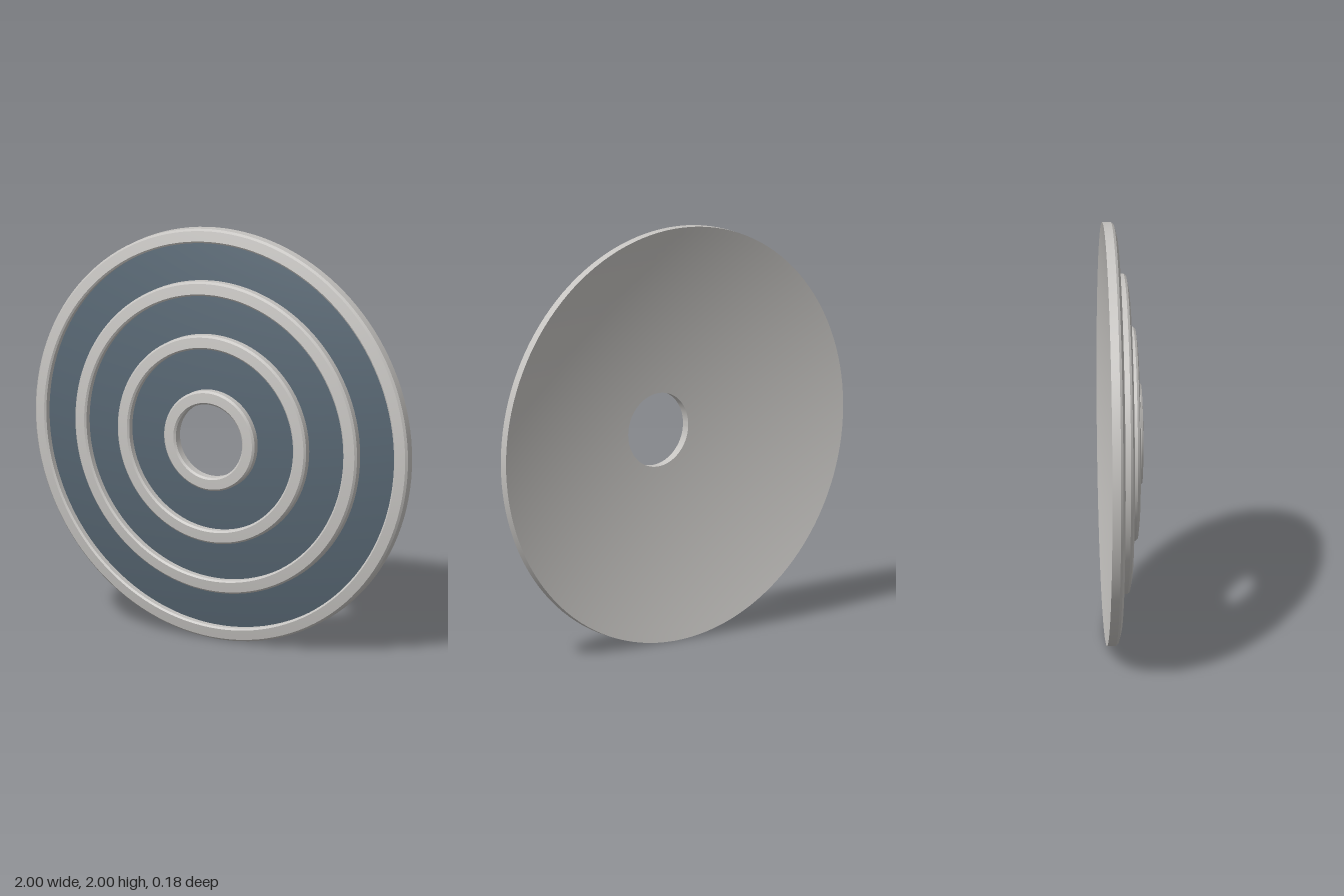
import * as THREE from 'three';
import { toCreasedNormals } from 'three/addons/utils/BufferGeometryUtils.js';

const HOLE = 0.178;
const SEGMENTS = 128;

// Back surface of the shallow dome: depth at a given radius
const dome = (r) => 0.045 - 0.132 * r * r;

// Points along the dome from radius a to b, raised by h
function arc(a, b, h, steps) {
  return Array.from({ length: steps + 1 }, (_, i) => {
    const r = a + ((b - a) * i) / steps;
    return new THREE.Vector2(r, dome(r) + h);
  });
}

// Closed band following the dome, from height low to high, with bevelled front edges
function band(name, material, inner, outer, low, high, bevel, steps) {
  const front = arc(outer - bevel, inner + bevel, high, steps);
  const back = arc(inner, outer, low, steps);
  const profile = [...back];
  if (bevel > 0) profile.push(new THREE.Vector2(outer, dome(outer) + high - bevel));
  profile.push(...front);
  if (bevel > 0) profile.push(new THREE.Vector2(inner, dome(inner) + high - bevel));
  profile.push(back[0].clone());
  const lathe = new THREE.LatheGeometry(profile, SEGMENTS);
  lathe.rotateX(Math.PI / 2);
  const mesh = new THREE.Mesh(toCreasedNormals(lathe, 0.4), material);
  mesh.name = name;
  return mesh;
}

export function createModel() {
  const model = new THREE.Group();
  model.name = 'ringedDish';
  const grey = new THREE.MeshStandardMaterial({ color: 0xc6c4c1 });
  grey.name = 'lightGrey';
  const slate = new THREE.MeshStandardMaterial({ color: 0x566571 });
  slate.name = 'slateBlue';

  const disc = new THREE.Group();
  disc.name = 'disc';
  disc.position.y = 1;
  model.add(disc);

  // Concave backing shell
  disc.add(band('backShell', grey, HOLE, 1, 0, 0.004, 0, 24));

  // Raised rings, from the hub to the outer rim
  const rings = [
    ['hubRing', HOLE, 0.243],
    ['innerRing', 0.44, 0.506],
    ['middleRing', 0.69, 0.757],
    ['outerRim', 0.934, 1],
  ];
  rings.forEach(([name, inner, outer]) => {
    disc.add(band(name, grey, inner, outer, 0.004, 0.05, 0.009, 3));
  });

  // Dark panels recessed between neighbouring rings
  ['innerPanel', 'middlePanel', 'outerPanel'].forEach((name, i) => {
    disc.add(band(name, slate, rings[i][2] - 0.01, rings[i + 1][1] + 0.01, 0.003, 0.01, 0, 10));
  });

  return model;
}
